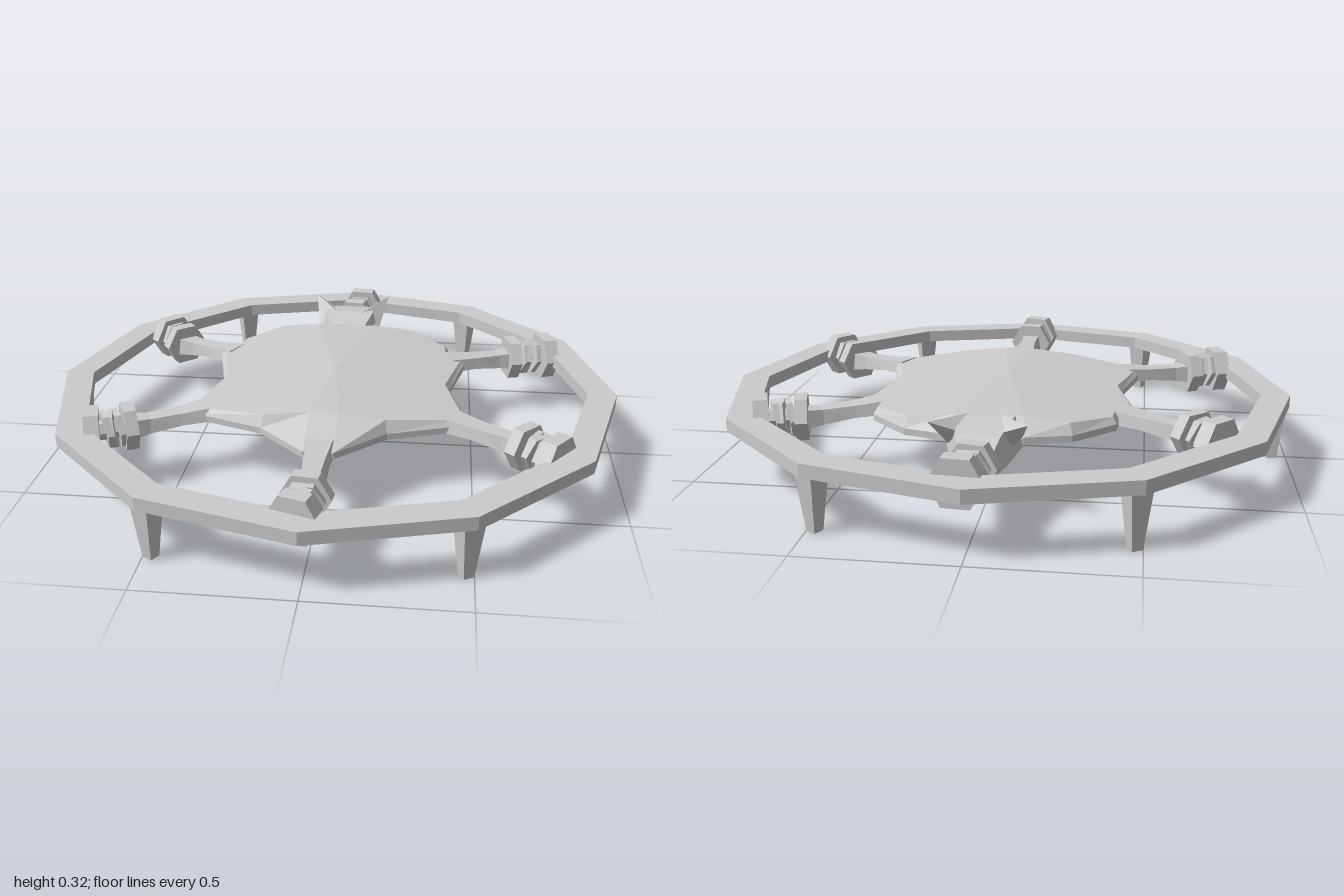
import * as THREE from 'three';
import { ConvexGeometry } from 'three/addons/geometries/ConvexGeometry.js';

const material = new THREE.MeshStandardMaterial({ color: 0xcccccc, flatShading: true });
const hideMaterial = new THREE.MeshStandardMaterial({ color: 0xcccccc, flatShading: true, side: THREE.DoubleSide });

function part(name, geometry, mat = material) {
  const mesh = new THREE.Mesh(geometry, mat);
  mesh.name = name;
  return mesh;
}

// Skin a list of closed rings and close both ends with a fan to an apex.
function loft(rings, startApex, endApex) {
  const n = rings[0].length;
  const average = (ring) => [0, 1, 2].map((k) => ring.reduce((s, p) => s + p[k], 0) / n);
  const positions = [];
  const tri = (...points) => points.forEach((p) => positions.push(...p));
  const last = rings[rings.length - 1];
  const start = startApex || average(rings[0]);
  const end = endApex || average(last);
  for (let i = 0; i < n; i++) {
    const j = (i + 1) % n;
    for (let r = 0; r < rings.length - 1; r++) {
      const a = rings[r], b = rings[r + 1];
      tri(a[i], a[j], b[j]);
      tri(a[i], b[j], b[i]);
    }
    tri(rings[0][j], rings[0][i], start);
    tri(last[i], last[j], end);
  }
  const geometry = new THREE.BufferGeometry();
  geometry.setAttribute('position', new THREE.Float32BufferAttribute(positions, 3));
  geometry.computeVertexNormals();
  return geometry;
}

// Upright four-cornered section, square to the horizontal direction (dx, dz).
function section(x, z, dx, dz, w, bottom, top) {
  const l = Math.hypot(dx, dz), px = (dz / l) * w, pz = (-dx / l) * w;
  return [[x + px, bottom, z + pz], [x + px * 0.8, top, z + pz * 0.8],
    [x - px * 0.8, top, z - pz * 0.8], [x - px, bottom, z - pz]];
}

// Domed body of the stretched hide, outline from tail to neck and mirrored.
function hideBody() {
  const half = [[0.05, 0.52], [0.21, 0.37], [0.44, 0.29], [0.47, 0.23], [0.41, 0],
    [0.47, -0.25], [0.41, -0.3], [0.405, -0.37], [0.27, -0.5], [0.12, -0.54]];
  const outline = [...half, ...half.map(([x, z]) => [-x, z]).reverse()];
  const bottom = outline.map(([x, z]) => [x, 0.2, z]);
  const rim = outline.map(([x, z]) => [x, 0.222, z]);
  const crown = outline.map(([x, z]) =>
    [x * 0.965, 0.284 - 0.1 * Math.abs(x), Math.max(-0.48, Math.min(0.35, z * 0.97))]);
  return loft([bottom, rim, crown], [0, 0.215, 0], [0, 0.286, 0]);
}

// Rope knot running from the limb end to the frame.
function knot(inner, outer, tilt) {
  const group = new THREE.Group();
  group.name = 'ropeKnot';
  const length = Math.hypot(outer[0] - inner[0], outer[1] - inner[1]);
  const hex = (name, radius, thickness, z, turn, lean = 0) => {
    const geometry = new THREE.CylinderGeometry(radius, radius, thickness, 6);
    geometry.rotateY(Math.PI / 6).rotateX(Math.PI / 2);
    const mesh = part(name, geometry);
    mesh.position.z = z;
    mesh.rotation.set(lean, turn, 0);
    group.add(mesh);
  };
  hex('innerLoop', 0.082, 0.042, 0, 0);
  hex('ropeCore', 0.035, length, length / 2, 0);
  for (let i = 0; i < 3; i++) {
    hex('ropeCoil', 0.066, 0.02, length * (0.27 + 0.17 * i), (i % 2 ? -1 : 1) * 0.15 + tilt * 0.5, 0.12);
  }
  hex('outerLoop', 0.087, 0.05, length, tilt);
  group.position.set(inner[0], 0.205, inner[1]);
  group.rotation.y = Math.atan2(outer[0] - inner[0], outer[1] - inner[1]);
  return group;
}

export function createModel() {
  const model = new THREE.Group();

  // Twelve-sided frame
  const profile = [[0.9, 0.185], [1, 0.185], [1, 0.23], [0.9, 0.23], [0.9, 0.185]];
  model.add(part('frame', new THREE.LatheGeometry(profile.map(([x, y]) => new THREE.Vector2(x, y)), 12)));

  // Six tapered legs
  for (let i = 0; i < 6; i++) {
    const angle = (i * Math.PI) / 3;
    const leg = part('leg', new THREE.CylinderGeometry(0.05, 0.025, 0.19, 4).rotateY(Math.PI / 4));
    leg.position.set(Math.cos(angle) * 0.95, 0.095, Math.sin(angle) * 0.95);
    leg.rotation.y = -angle;
    model.add(leg);
  }

  model.add(part('hideBody', hideBody(), hideMaterial));

  // Limbs and tail: root, knot start, knot end, knot tilt
  const ties = [
    ['tail', [0, 0.47], [-0.005, 0.755], [-0.02, 0.885], -0.2],
    ['limb', [0.42, 0.25], [0.66, 0.375], [0.75, 0.46], 0.1],
    ['limb', [-0.42, 0.25], [-0.66, 0.365], [-0.77, 0.42], -0.15],
    ['limb', [0.41, -0.26], [0.65, -0.375], [0.78, -0.41], 0.1],
    ['limb', [-0.41, -0.26], [-0.65, -0.38], [-0.72, -0.46], 0.1],
    ['neckTie', [0, -0.66], [0.005, -0.75], [0.03, -0.88], 0.1],
  ];
  for (const [name, root, inner, outer, tilt] of ties) {
    const dx = inner[0] - root[0], dz = inner[1] - root[1];
    const at = (t, w, bottom, top) => section(root[0] + dx * t, root[1] + dz * t, dx, dz, w, bottom, top);
    model.add(part(name, loft([at(0, 0.055, 0.2, 0.245), at(0.35, 0.042, 0.195, 0.235),
      at(0.75, 0.035, 0.18, 0.23), at(1, 0.045, 0.17, 0.235)]), hideMaterial));
    model.add(knot(inner, outer, tilt));
  }

  // Hooded head with a pair of pointed ears
  const head = new THREE.Group();
  head.name = 'head';
  const sections = [[-0.48, 0.08, 0.21, 0.262], [-0.56, 0.12, 0.2, 0.3], [-0.64, 0.1, 0.19, 0.288],
    [-0.69, 0.085, 0.18, 0.275], [-0.74, 0.065, 0.175, 0.24]];
  head.add(part('skull', loft(sections.map(([z, w, b, t]) => section(0, z, 0, -1, w, b, t)))));
  for (const s of [1, -1]) {
    const corners = [[0.12, 0.23, -0.54], [0.05, 0.3, -0.55], [0.06, 0.275, -0.66], [0.1, 0.23, -0.64], [0.15, 0.318, -0.705]];
    head.add(part('ear', new ConvexGeometry(corners.map(([x, y, z]) => new THREE.Vector3(s * x, y, z)))));
  }
  model.add(head);
  return model;
}
